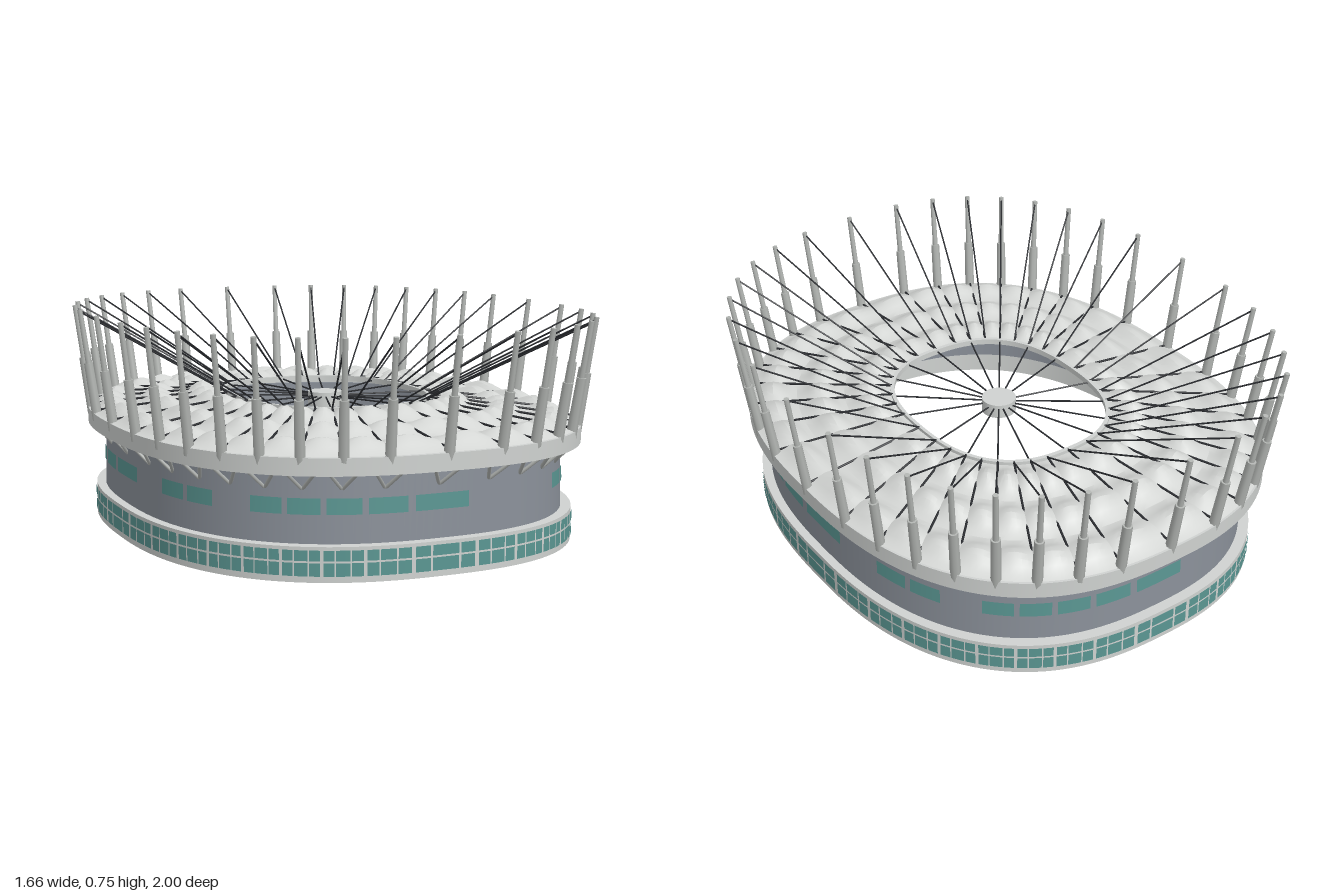
import * as THREE from 'three';
import { mergeGeometries, toCreasedNormals } from 'three/addons/utils/BufferGeometryUtils.js';

const RATIO = 1.207;   // length to width of the oval plan
const SECTORS = 36;    // one mast per sector
const STEP = Math.PI * 2 / SECTORS;

const mat = (name, color, side = THREE.FrontSide) => {
  const m = new THREE.MeshStandardMaterial({ color, side });
  m.name = name;
  return m;
};

// Point on the rounded oval of half width a; t = 0 faces the front, growing towards +x
function oval(a, y, t) {
  const p = (v) => Math.sign(v) * Math.pow(Math.abs(v) < 1e-9 ? 0 : Math.abs(v), 0.8);
  return new THREE.Vector3(a * p(Math.sin(t)), y, a * RATIO * p(Math.cos(t)));
}

// Surface from a grid of points: i runs around the oval, j along the section
function grid(n, m, point, crease = 0.5) {
  const pos = [], idx = [];
  for (let i = 0; i <= n; i++) for (let j = 0; j <= m; j++) pos.push(...point(i / n, j / m, j).toArray());
  for (let i = 0; i < n; i++) for (let j = 0; j < m; j++) {
    const a = i * (m + 1) + j, b = a + m + 1;
    idx.push(a, b, b + 1, a, b + 1, a + 1);
  }
  const g = new THREE.BufferGeometry();
  g.setAttribute('position', new THREE.Float32BufferAttribute(pos, 3));
  g.setIndex(idx);
  g.computeVertexNormals();
  return toCreasedNormals(g, crease);
}

// Sweep a section of [half width, height] points around the oval
const sweep = (section, t0 = 0, t1 = Math.PI * 2, n = 288) =>
  grid(n, section.length - 1, (u, v, j) => oval(...section[j], t0 + (t1 - t0) * u));

// Round bar between two points
function bar(p, q, r0, r1 = r0, sides = 8) {
  const d = q.clone().sub(p);
  const g = new THREE.CylinderGeometry(r1, r0, d.length(), sides);
  g.applyQuaternion(new THREE.Quaternion().setFromUnitVectors(new THREE.Vector3(0, 1, 0), d.normalize()));
  const c = p.clone().add(q).multiplyScalar(0.5);
  return g.translate(c.x, c.y, c.z);
}

export function createModel() {
  const root = new THREE.Group();
  root.name = 'stadium';
  const pale = mat('pale grey', 0xcfd2d0);
  const canvas = mat('roof canvas', 0xd4d6d4, THREE.DoubleSide);
  const wallGrey = mat('wall blue grey', 0x8a9099);
  const glass = mat('teal glass', 0x5a9692);
  const steel = mat('mast steel', 0xb2b5b2);
  const dark = mat('dark cable', 0x2c2e32);
  const add = (name, geo, material) => {
    const mesh = new THREE.Mesh(Array.isArray(geo) ? mergeGeometries(geo) : geo, material);
    mesh.name = name;
    root.add(mesh);
  };

  // Base storey, main wall and roof rim
  add('baseRing', sweep([[0.752, 0], [0.76, 0], [0.76, 0.11], [0.715, 0.11], [0.715, 0.1], [0.752, 0.1], [0.752, 0]]), pale);
  add('outerWall', sweep([[0.715, 0.1], [0.73, 0.1], [0.724, 0.36], [0.712, 0.36], [0.715, 0.1]]), wallGrey);
  add('roofRim', sweep([[0.755, 0.33], [0.785, 0.33], [0.785, 0.385], [0.755, 0.385], [0.755, 0.33]]), pale);

  // Base windows: two rows of three panes in every sector
  const panes = [], upper = [];
  const columns = [[-0.46, -0.2], [-0.165, 0.165], [0.2, 0.46]];
  const rows = [[0.02, 0.061], [0.067, 0.1]];
  const blank = [1, 2, 3, 10, 13];
  for (let k = 0; k < SECTORS; k++) {
    for (const [c0, c1] of columns) for (const [y0, y1] of rows) {
      panes.push(sweep([[0.763, y0], [0.763, y1]], (k + c0) * STEP, (k + c1) * STEP, 4));
    }
    // Upper windows skip a few sectors, the same on both halves
    if (!blank.includes(k % 18)) {
      upper.push(sweep([[0.731, 0.2], [0.73, 0.25]], (k - 0.38) * STEP, (k + 0.47) * STEP, 8));
    }
  }
  add('baseWindows', panes, glass);
  add('upperWindows', upper, glass);

  // Rippled roof panels, arched between the ribs
  const OUT = 0.78, IN = 0.33;
  const height = (v) => 0.387 + 0.053 * v;
  const panels = [];
  for (let k = 0; k < SECTORS; k++) {
    panels.push(grid(6, 24, (u, v) => {
      const ripple = 0.5 - 0.5 * Math.cos(v * Math.PI * 6);
      const arch = 0.45 + 0.55 * Math.sin(Math.PI * u);
      return oval(OUT + (IN - OUT) * v, height(v) + 0.036 * ripple * arch, (k + u) * STEP);
    }, 0.35));
  }
  add('roofPanels', panels, canvas);
  add('innerRing', sweep([[0.322, 0.432], [0.334, 0.432], [0.334, 0.452], [0.322, 0.452], [0.322, 0.432]]), pale);

  // Masts with sleeves, stay cables, roof ribs and struts under the rim
  const masts = [], cables = [], ribs = [], struts = [];
  for (let k = 0; k < SECTORS; k++) {
    const t = k * STEP;
    const foot = oval(0.77, 0.36, t), top = oval(0.822, 0.745, t);
    const mid = foot.clone().lerp(top, 0.52);
    masts.push(bar(foot, mid, 0.018, 0.016), bar(mid, top, 0.01, 0.009));
    cables.push(bar(top.clone().lerp(foot, 0.02), oval(IN, 0.448, t), 0.003, 0.003, 5));
    ribs.push(bar(oval(OUT, 0.395, t), oval(IN, 0.45, t), 0.004, 0.004, 5));
    const low = oval(0.72, 0.275, t);
    for (const s of [-1, 1]) {
      const p = oval(0.77, 0.338, t), along = oval(0.77, 0.338, t + 0.03).sub(oval(0.77, 0.338, t - 0.03)).normalize();
      struts.push(bar(low, p.addScaledVector(along, s * 0.045), 0.006, 0.006, 6));
    }
  }
  add('masts', masts, steel);
  add('stayCables', cables, dark);
  add('roofRibs', ribs, dark);
  add('rimStruts', struts, steel);

  // Central hub held by spoke cables
  const hub = new THREE.CylinderGeometry(0.06, 0.06, 0.05, 24);
  add('hub', hub.translate(0, 0.425, 0), pale);
  const spokes = [];
  for (let k = 0; k < SECTORS; k += 2) {
    const rim = oval(0.325, 0.442, k * STEP);
    const end = new THREE.Vector3(rim.x, 0, rim.z).setLength(0.055).setY(0.435);
    spokes.push(bar(rim, end, 0.003, 0.003, 5));
  }
  add('spokeCables', spokes, dark);
  return root;
}
